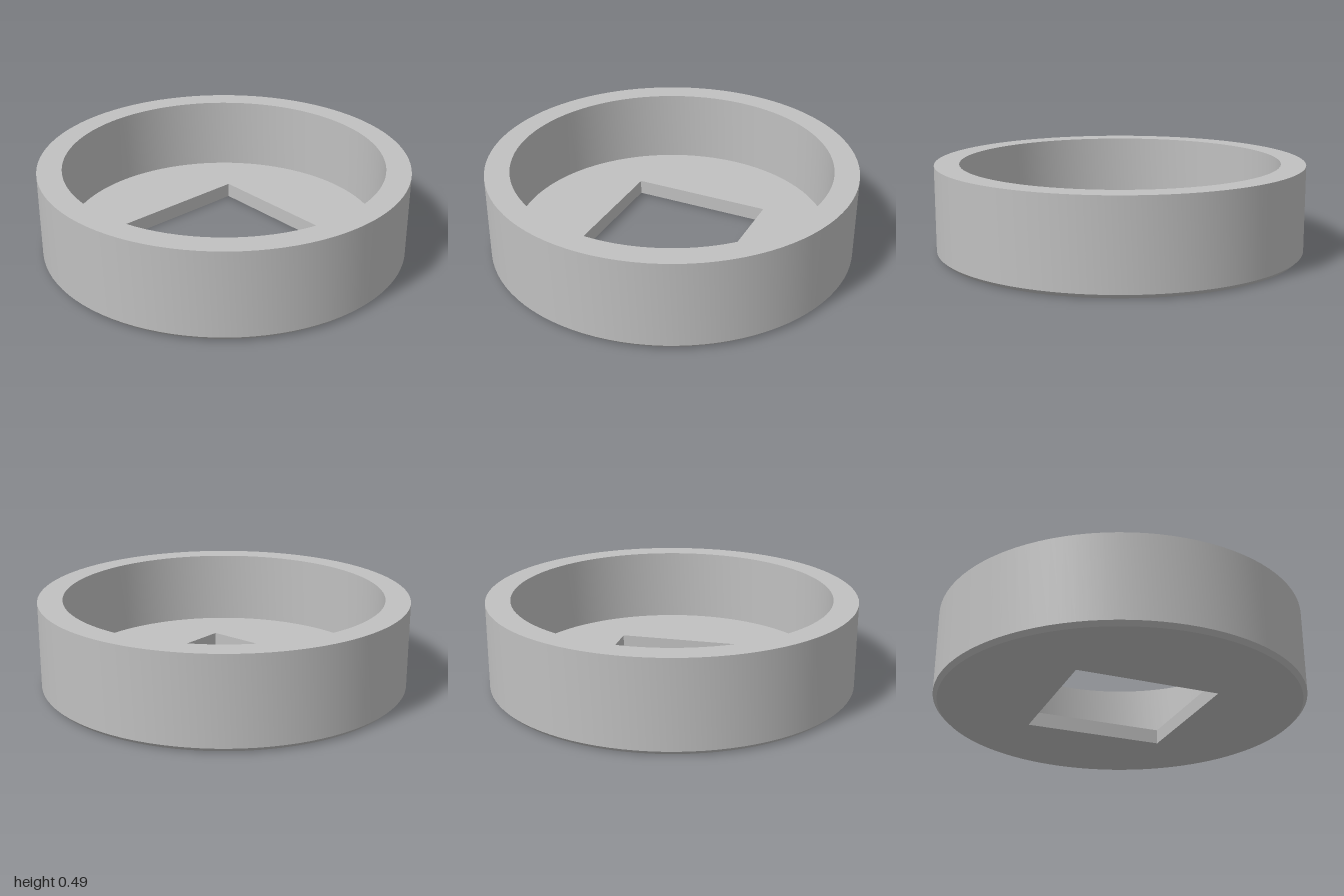
import * as THREE from 'three';
import { toCreasedNormals } from 'three/addons/utils/BufferGeometryUtils.js';

const SEGMENTS = 96;
const INNER_RADIUS = 0.867;
const HEIGHT = 0.487;
const FLOOR = 0.082;
const HOLE = 0.393; // half width of the square opening

export function createModel() {
  const model = new THREE.Group();
  model.name = 'roundCup';

  const grey = new THREE.MeshStandardMaterial({ color: 0xc0c0c0 });
  grey.name = 'grey';

  // Ring wall: underside, chamfer, outer side, flat rim and inner side
  const profile = [
    [INNER_RADIUS, 0],
    [0.978, 0],
    [1, 0.022],
    [1, HEIGHT],
    [INNER_RADIUS, HEIGHT],
    [INNER_RADIUS, FLOOR],
  ].map(([r, y]) => new THREE.Vector2(r, y));
  const wallGeometry = toCreasedNormals(new THREE.LatheGeometry(profile, SEGMENTS), Math.PI / 6);
  const wall = new THREE.Mesh(wallGeometry, grey);
  wall.name = 'ringWall';
  model.add(wall);

  // Floor disc with a square opening
  const disc = new THREE.Shape().absarc(0, 0, INNER_RADIUS, 0, Math.PI * 2);
  const opening = new THREE.Path()
    .moveTo(-HOLE, -HOLE)
    .lineTo(-HOLE, HOLE)
    .lineTo(HOLE, HOLE)
    .lineTo(HOLE, -HOLE)
    .closePath();
  disc.holes.push(opening);
  const floorGeometry = new THREE.ExtrudeGeometry(disc, {
    depth: FLOOR,
    bevelEnabled: false,
    curveSegments: SEGMENTS,
  });
  floorGeometry.rotateX(-Math.PI / 2);
  const floor = new THREE.Mesh(floorGeometry, grey);
  floor.name = 'floorWithSquareHole';
  model.add(floor);

  return model;
}
